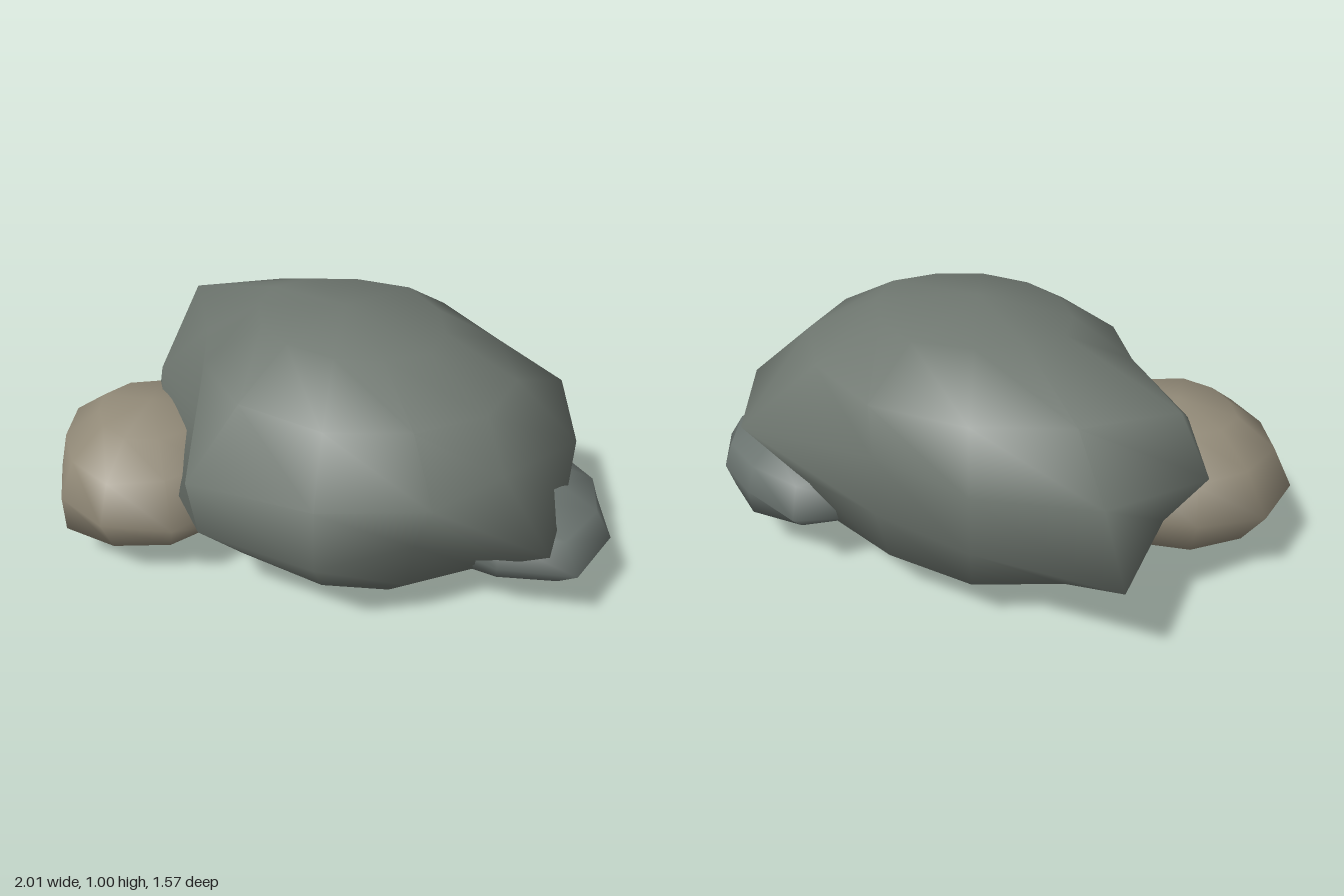
import * as THREE from 'three';
import { mergeVertices } from 'three/addons/utils/BufferGeometryUtils.js';

// A smooth-shaded boulder: a coarse sphere whose rings are pushed in and out.
// rings[r][c] scales column c of ring r (top to bottom) away from the upright axis.
function rock(name, material, centre, radii, turn, rings) {
  const segs = rings[0].length;
  const start = THREE.MathUtils.degToRad(turn);
  let geo = new THREE.SphereGeometry(1, segs, rings.length + 1, start, Math.PI * 2);
  const p = geo.attributes.position;
  for (let i = 0; i < p.count; i++) {
    const r = Math.floor(i / (segs + 1)) - 1;
    const c = (i % (segs + 1)) % segs;
    const f = rings[r] ? rings[r][c] : 1;
    p.setXYZ(i, p.getX(i) * f * radii[0], p.getY(i) * radii[1], p.getZ(i) * f * radii[2]);
  }
  // weld the seam and poles so the shading is continuous
  geo.deleteAttribute('uv');
  geo.deleteAttribute('normal');
  geo = mergeVertices(geo, 1e-4);
  geo.computeVertexNormals();
  const mesh = new THREE.Mesh(geo, material);
  mesh.name = name;
  mesh.position.set(...centre);
  return mesh;
}

export function createModel() {
  const group = new THREE.Group();
  group.name = 'rockCluster';
  const grey = new THREE.MeshStandardMaterial({ name: 'grey stone', color: 0x6f7770 });
  const slate = new THREE.MeshStandardMaterial({ name: 'slate stone', color: 0x6b7470 });
  const tan = new THREE.MeshStandardMaterial({ name: 'tan stone', color: 0x928a78 });

  // large central boulder, columns run from -x round by the front
  group.add(rock('largeBoulder', grey, [0, 0.505, -0.11], [0.85, 0.502, 0.68], 0, [
    [1.0, 0.95, 0.95, 0.98, 1.0, 1.0, 1.08, 1.05, 1.1, 1.19, 1.05, 1.0],
    [1.23, 0.86, 0.9, 0.98, 0.98, 0.95, 0.98, 1.0, 1.02, 1.07, 1.05, 1.08],
    [1.13, 0.95, 0.78, 1.16, 1.03, 0.97, 0.89, 1.09, 1.2, 0.85, 0.97, 1.08],
    [0.95, 1.0, 0.97, 1.1, 1.05, 0.82, 1.146, 1.08, 0.95, 0.85, 0.95, 1.25],
    [0.95, 1.0, 1.0, 1.0, 1.0, 0.95, 1.0, 1.0, 1.0, 0.95, 1.0, 1.0],
    [0.92, 1.0, 1.0, 1.05, 1.0, 1.28, 1.1, 1.0, 1.0, 1.0, 1.2, 1.05],
  ]));

  // tan boulder at the front
  group.add(rock('tanBoulder', tan, [-0.56, 0.307, 0.36], [0.42, 0.28, 0.42], -16, [
    [1.05, 1.05, 0.95, 1.0, 1.1, 1.1, 1.08, 1.0, 1.0, 1.0, 1.0],
    [0.98, 1.0, 0.92, 0.96, 1.06, 0.98, 0.92, 0.95, 1.0, 1.0, 1.05],
    [1.1, 1.04, 0.87, 0.98, 1.08, 1.13, 1.0, 0.95, 1.0, 1.0, 1.02],
    [1.0, 0.98, 0.95, 1.12, 1.05, 1.0, 0.92, 0.95, 1.0, 1.0, 1.0],
    [1.05, 1.05, 1.0, 1.05, 1.0, 1.0, 1.0, 1.0, 1.0, 1.0, 1.0],
  ]));

  // small boulder at the back
  group.add(rock('smallBoulder', slate, [0.57, 0.28, -0.38], [0.4, 0.187, 0.4], 15, [
    [1.0, 1.0, 1.0, 1.05, 1.1, 1.0, 1.0, 1.1, 1.1, 1.0],
    [1.0, 0.95, 0.95, 1.0, 1.1, 1.0, 0.95, 0.92, 1.08, 1.0],
    [1.0, 0.95, 0.9, 0.97, 1.17, 1.02, 0.9, 0.88, 1.14, 1.0],
    [1.0, 0.95, 0.9, 0.9, 1.05, 1.05, 0.95, 0.98, 1.0, 1.0],
    [1.0, 1.0, 1.0, 0.95, 1.05, 1.0, 1.0, 1.0, 1.0, 1.0],
  ]));
  return group;
}
